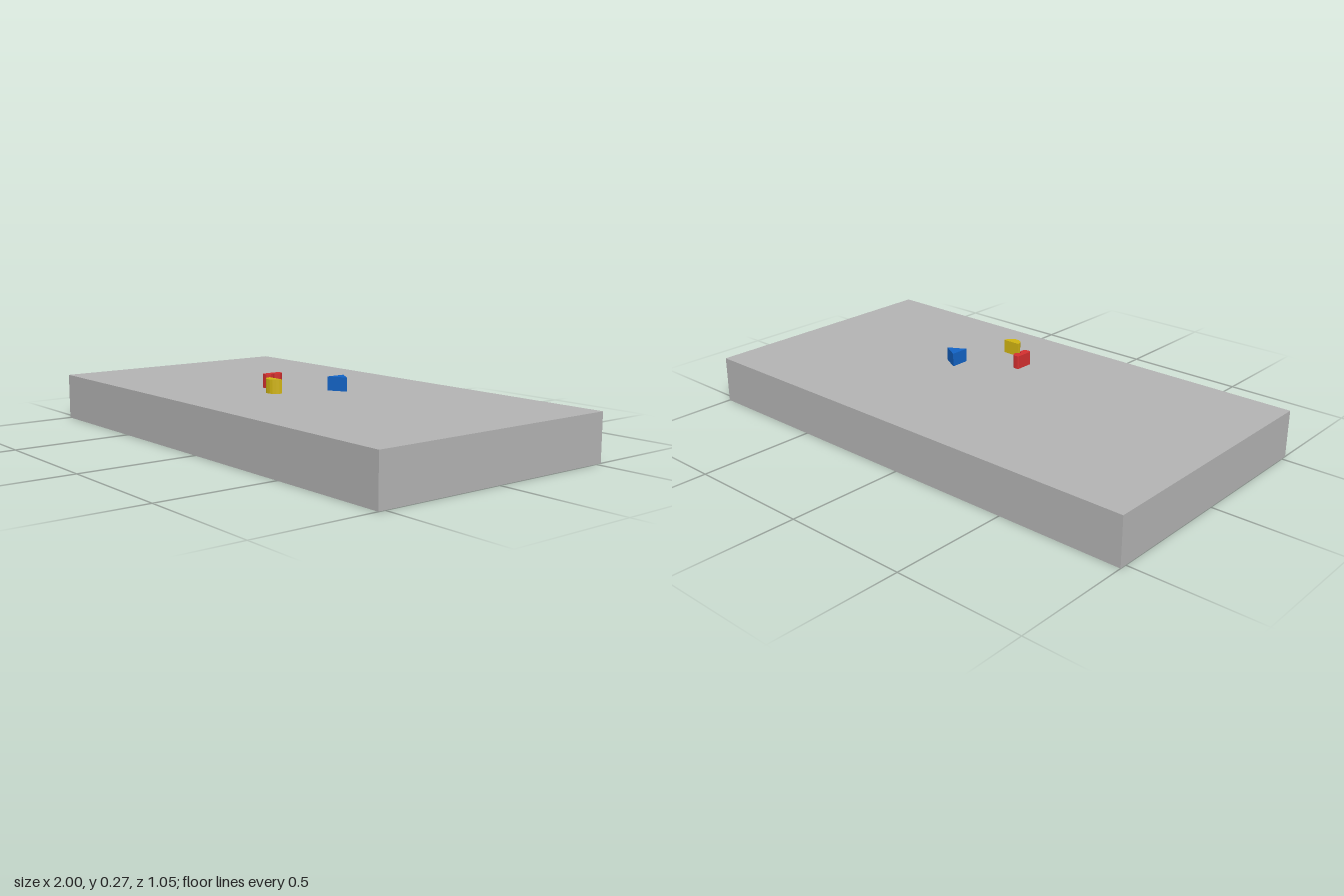
import * as THREE from 'three';
import { toCreasedNormals } from 'three/addons/utils/BufferGeometryUtils.js';

const paint = (name, color) => {
  const m = new THREE.MeshStandardMaterial({ color });
  m.name = name;
  return m;
};

export function createModel() {
  const grey = paint('grey', 0xb2b2b2);
  const red = paint('red', 0xd32f2f);
  const blue = paint('blue', 0x1262c4);
  const yellow = paint('yellow', 0xcfb312);

  const group = new THREE.Group();
  const add = (name, geometry, material, x, y, z) => {
    const mesh = new THREE.Mesh(geometry, material);
    mesh.name = name;
    mesh.position.set(x, y, z);
    group.add(mesh);
  };

  // Upright prism whose outline lies in x and z, hung down from its top
  const prism = (shape) => {
    const g = new THREE.ExtrudeGeometry(shape, { depth: 0.053, bevelEnabled: false, curveSegments: 20 });
    g.rotateX(Math.PI / 2);
    return toCreasedNormals(g, 0.6);
  };
  const top = 0.27;

  // Base slab
  add('slab', new THREE.BoxGeometry(2, 0.187, 1.054), grey, 0, 0.0935, 0);

  // Heart: two round lobes with straight sides tangent to them, tip towards -x
  const r = 0.02, tip = -0.05;
  const a = Math.atan2(r, -tip) * 2 + Math.PI / 2;
  const heart = new THREE.Shape();
  heart.moveTo(tip, 0);
  heart.absarc(0, -r, r, -a, Math.PI / 2, false);
  heart.absarc(0, r, r, -Math.PI / 2, a, false);
  heart.closePath();
  add('heartBlock', prism(heart), red, -0.017, top, 0.161);

  // Half disc, flat side to the back
  const half = new THREE.Shape();
  half.absarc(0, 0, 0.037, 0, Math.PI, false);
  half.closePath();
  add('halfDiscBlock', prism(half), yellow, 0.1, top, 0.232);

  // Triangle pointing to +x
  const triangle = new THREE.Shape([
    new THREE.Vector2(0, -0.0385),
    new THREE.Vector2(0.068, 0),
    new THREE.Vector2(0, 0.0385),
  ]);
  add('triangleBlock', prism(triangle), blue, 0.182, top, 0.0135);

  return group;
}
